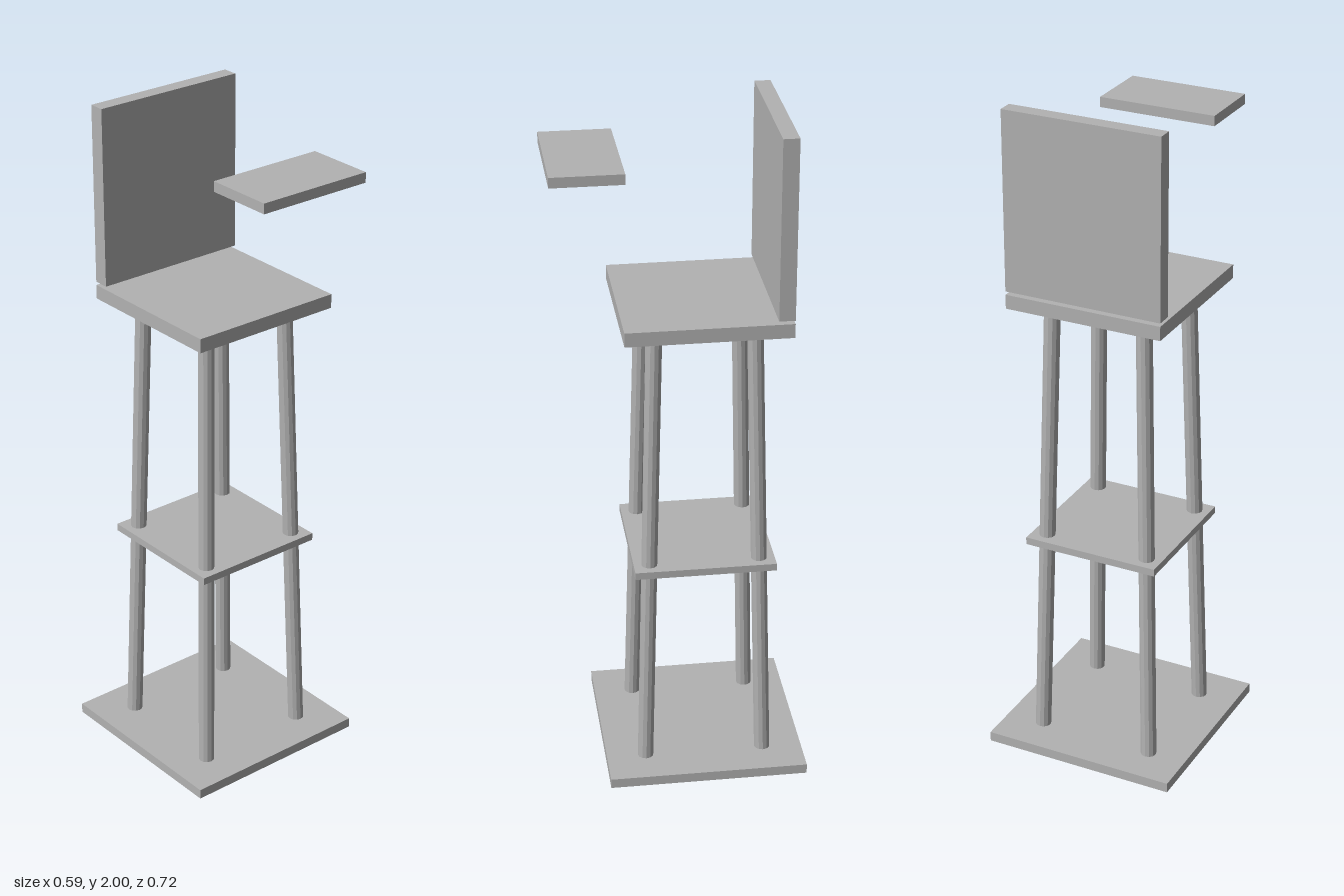
import * as THREE from 'three';

export function createModel() {
  const model = new THREE.Group();
  model.name = 'highChair';
  const grey = new THREE.MeshStandardMaterial({ color: 0xb2b2b2 });
  grey.name = 'plain grey';
  const centerZ = -0.066; // shared axis of base, legs, shelf and seat

  const slab = (name, width, y0, y1, z0, z1) => {
    const mesh = new THREE.Mesh(new THREE.BoxGeometry(width, y1 - y0, z1 - z0), grey);
    mesh.name = name;
    mesh.position.set(0, (y0 + y1) / 2, (z0 + z1) / 2);
    model.add(mesh);
  };

  // Flat boards
  slab('base', 0.592, 0, 0.03, -0.362, 0.229);
  slab('shelf', 0.414, 0.662, 0.684, -0.273, 0.141);
  slab('seat', 0.474, 1.42, 1.462, -0.304, 0.169);
  slab('backrest', 0.474, 1.472, 2, -0.304, -0.258);
  slab('tray', 0.355, 1.87, 1.9, 0.155, 0.361);

  // Four round legs leaning inwards towards the seat
  const up = new THREE.Vector3(0, 1, 0);
  for (const sx of [-1, 1]) {
    for (const sz of [-1, 1]) {
      const foot = new THREE.Vector3(sx * 0.178, 0.02, centerZ + sz * 0.178);
      const head = new THREE.Vector3(sx * 0.142, 1.425, centerZ + sz * 0.142);
      const axis = head.clone().sub(foot);
      const geometry = new THREE.CylinderGeometry(0.0235, 0.0235, axis.length(), 12).toNonIndexed();
      geometry.computeVertexNormals();
      const leg = new THREE.Mesh(geometry, grey);
      leg.name = (sz > 0 ? 'front' : 'back') + (sx > 0 ? 'Left' : 'Right') + 'Leg';
      leg.position.copy(foot).add(head).multiplyScalar(0.5);
      leg.quaternion.setFromUnitVectors(up, axis.normalize());
      model.add(leg);
    }
  }
  return model;
}
